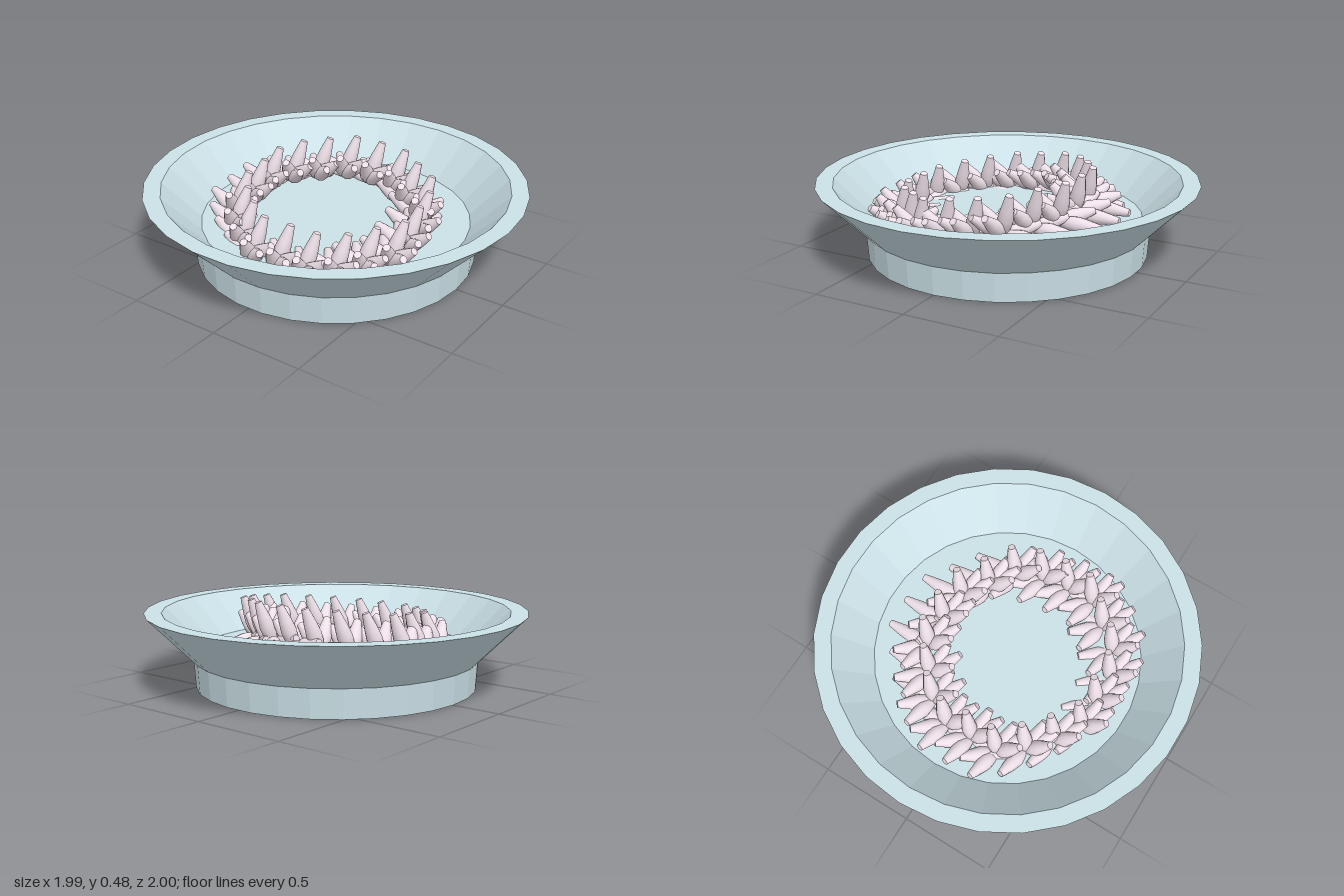
import * as THREE from 'three';

const dishMaterial = new THREE.MeshStandardMaterial({ color: 0xcbe1e7, flatShading: true });
const budMaterial = new THREE.MeshStandardMaterial({ color: 0xeee0e9 });

const lathe = (points, sides) =>
  new THREE.LatheGeometry(points.map(([r, y]) => new THREE.Vector2(r, y)), sides);

export function createModel() {
  const model = new THREE.Group();
  model.name = 'dishWithWreath';

  // Foot, flared wall, flat rim and sunken floor in one profile
  const dish = new THREE.Mesh(lathe(
    [[0, 0], [0.74, 0], [0.75, 0.15], [1, 0.4], [0.91, 0.4], [0.71, 0.2], [0, 0.2]], 30), dishMaterial);
  dish.name = 'dish';
  model.add(dish);

  // One bud: a spindle of unit length along +y, with a flat tip
  const spindle = lathe([[0.02, 0], [0.036, 0.25], [0.041, 0.42], [0.034, 0.65], [0.019, 1]], 12);
  const cap = new THREE.CircleGeometry(0.019, 12).rotateX(-Math.PI / 2).translate(0, 1, 0);

  // Tip of each bud relative to the middle of its sprig
  const tips = [
    [0.25, -0.01, 0],
    [0.06, 0.22, 0.05],
    [0.04, 0.06, -0.19],
    [0.14, 0.04, -0.13],
    [-0.10, 0.11, 0.14],
    [-0.02, 0.12, 0.15],
    [-0.11, 0.15, 0.05],
  ].map((t) => new THREE.Vector3(...t));
  const up = new THREE.Vector3(0, 1, 0);

  // Sprigs all lean the same way; the uneven ring rises towards +x
  const wreath = new THREE.Group();
  wreath.name = 'wreath';
  const count = 20;
  for (let i = 0; i < count; i++) {
    const a = (i / count) * Math.PI * 2;
    const wobble = 1 + 0.03 * Math.sin(i * 2.4);
    const x = -0.09 + 0.46 * wobble * Math.cos(a);
    const z = -0.04 + 0.5 * wobble * Math.sin(a) + 0.03 * (1 - Math.cos(a));
    const sprig = new THREE.Group();
    sprig.name = 'sprig';
    sprig.position.set(x, 0.21 + 0.11 * x, z);
    for (const tip of tips) {
      const bud = new THREE.Group();
      bud.name = 'bud';
      bud.add(new THREE.Mesh(spindle, budMaterial), new THREE.Mesh(cap, budMaterial));
      bud.scale.y = tip.length();
      bud.quaternion.setFromUnitVectors(up, tip.clone().normalize());
      sprig.add(bud);
    }
    wreath.add(sprig);
  }
  model.add(wreath);
  return model;
}
